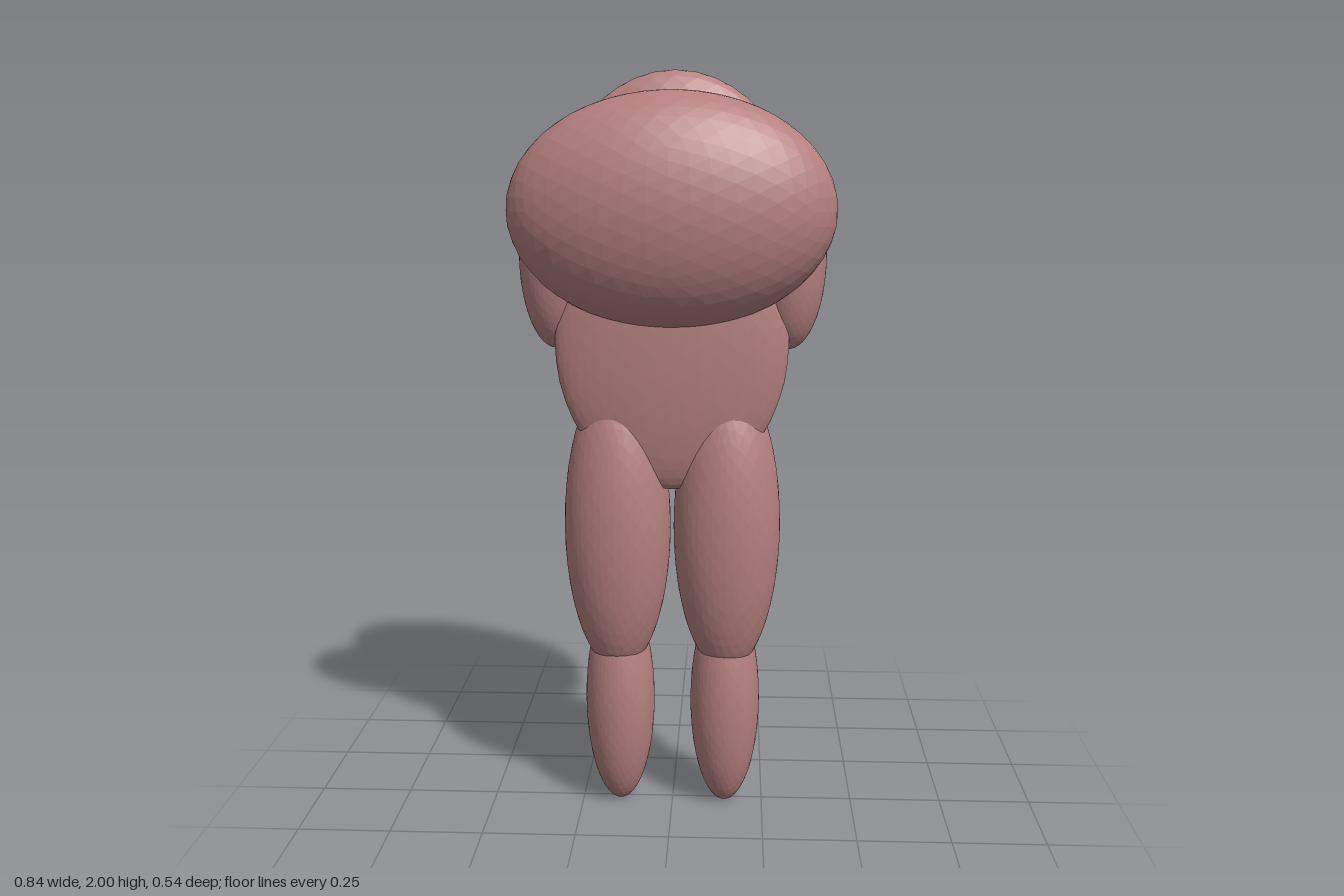
import * as THREE from 'three';

export function createModel() {
  const model = new THREE.Group();
  const material = new THREE.MeshStandardMaterial({ color: 0xb57f7f, flatShading: true });
  const ball = new THREE.IcosahedronGeometry(1, 7);

  // Every part is a faceted ball stretched to its three radii
  function ellipsoid(name, centre, radii) {
    const mesh = new THREE.Mesh(ball, material);
    mesh.name = name;
    mesh.position.set(...centre);
    mesh.scale.set(...radii);
    model.add(mesh);
  }

  // Trunk
  ellipsoid('head', [0, 1.64, 0.09], [0.422, 0.3, 0.181]);
  ellipsoid('torso', [0, 1.3, 0.07], [0.305, 0.39, 0.06]);
  ellipsoid('backShell', [0, 1.52, -0.155], [0.362, 0.48, 0.117]);

  // Mirrored limbs
  for (const [side, s] of [['left', 1], ['right', -1]]) {
    ellipsoid(side + 'Arm', [s * 0.305, 1.52, 0.022], [0.095, 0.24, 0.09]);
    ellipsoid(side + 'Thigh', [s * 0.147, 0.8, 0.033], [0.143, 0.41, 0.118]);
    ellipsoid(side + 'Shin', [s * 0.145, 0.3, 0.01], [0.095, 0.3, 0.095]);
  }
  return model;
}
